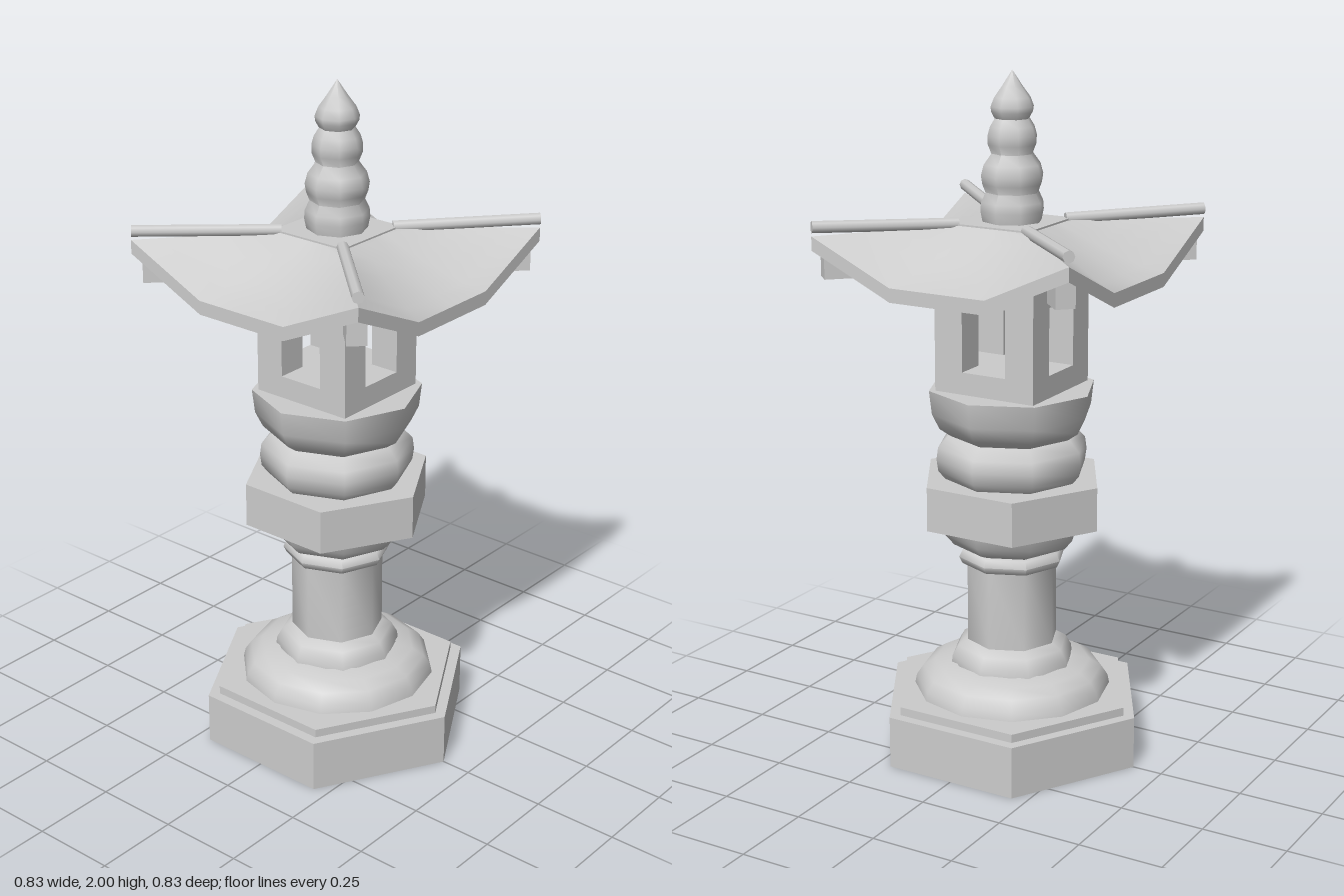
import * as THREE from 'three';
import { toCreasedNormals } from 'three/addons/utils/BufferGeometryUtils.js';

export function createModel() {
  const model = new THREE.Group();
  model.name = 'stoneLantern';
  const stone = new THREE.MeshStandardMaterial({ color: 0xcccccc });
  stone.name = 'grey stone';

  function add(name, geometry, x = 0, y = 0, z = 0, parent = model) {
    const mesh = new THREE.Mesh(geometry, stone);
    mesh.name = name;
    mesh.position.set(x, y, z);
    parent.add(mesh);
    return mesh;
  }
  function box(name, w, h, d, x, y, z, parent) {
    return add(name, new THREE.BoxGeometry(w, h, d), x, y, z, parent);
  }
  // Hexagonal slab with corners on the x axis
  function hexSlab(name, radius, y0, y1) {
    const g = new THREE.CylinderGeometry(radius, radius, y1 - y0, 6).toNonIndexed();
    g.rotateY(Math.PI / 6);
    g.computeVertexNormals();
    add(name, g, 0, (y0 + y1) / 2, 0);
  }
  // Turned part from [radius, height] pairs, listed bottom to top
  function turned(name, profile, sides = 8) {
    const points = profile.map(([r, y]) => new THREE.Vector2(r, y));
    add(name, toCreasedNormals(new THREE.LatheGeometry(points, sides), 1.0));
  }

  // Pedestal
  hexSlab('base', 0.41, 0, 0.155);
  hexSlab('baseStep', 0.375, 0.155, 0.18);
  turned('lowerMound', [[0.29, 0.18], [0.285, 0.205], [0.265, 0.235], [0.23, 0.257], [0.18, 0.267]], 12);
  turned('upperMound', [[0.185, 0.262], [0.182, 0.285], [0.165, 0.315], [0.13, 0.335], [0, 0.335]]);
  turned('shaft', [[0.135, 0.33], [0.135, 0.58]]);
  turned('collar', [[0.13, 0.568], [0.15, 0.572], [0.16, 0.592], [0.15, 0.613], [0.13, 0.618]]);
  turned('lowerLotus', [[0, 0.617], [0.14, 0.617], [0.175, 0.632], [0.2, 0.662], [0.21, 0.706]]);
  hexSlab('middlePlatform', 0.28, 0.705, 0.835);
  turned('cushion', [[0.2, 0.835], [0.22, 0.86], [0.225, 0.895], [0.22, 0.93], [0.19, 0.962], [0, 0.965]]);
  turned('upperLotus', [[0, 0.96], [0.18, 0.96], [0.215, 0.985], [0.237, 1.03], [0.245, 1.1], [0, 1.1]]);

  // Light chamber, open on all four sides
  const chamber = new THREE.Group();
  chamber.name = 'lightChamber';
  model.add(chamber);
  box('chamberFloor', 0.32, 0.065, 0.32, 0, 1.1325, 0, chamber);
  box('chamberTop', 0.32, 0.15, 0.32, 0, 1.435, 0, chamber);
  for (const sx of [-1, 1]) for (const sz of [-1, 1]) {
    box('chamberPost', 0.09, 0.195, 0.09, sx * 0.115, 1.2625, sz * 0.115, chamber);
  }

  // One roof slope: a thick curved sheet from the top plate to the upturned eave
  const across = [-1, -0.37, 0, 0.37, 1];
  const eave = [1.562, 1.445, 1.445, 1.445, 1.562];
  const rows = 5;
  function slopePoint(i, j, drop) {
    const v = j / rows;
    const half = THREE.MathUtils.lerp(0.125, 0.403, v);
    const fall = 1 - Math.pow(1 - v, 1.25);
    const y = THREE.MathUtils.lerp(1.575, eave[i], Math.abs(across[i]) === 1 ? v : fall);
    return [across[i] * half, y - drop, half];
  }
  const positions = [];
  const section = [];
  for (let j = 0; j <= rows; j++) section.push([j, 0]);
  for (let j = rows; j >= 0; j--) section.push([j, 0.04]);
  for (let k = 0; k < section.length - 1; k++) {
    for (let i = 0; i < across.length - 1; i++) {
      const a = slopePoint(i, ...section[k]);
      const b = slopePoint(i, ...section[k + 1]);
      const c = slopePoint(i + 1, ...section[k + 1]);
      const d = slopePoint(i + 1, ...section[k]);
      positions.push(...a, ...b, ...c, ...a, ...c, ...d);
    }
  }
  const raw = new THREE.BufferGeometry();
  raw.setAttribute('position', new THREE.Float32BufferAttribute(positions, 3));
  const slope = toCreasedNormals(raw, 0.9);

  const roof = new THREE.Group();
  roof.name = 'roof';
  model.add(roof);
  box('roofPlate', 0.25, 0.05, 0.25, 0, 1.555, 0, roof);
  const up = new THREE.Vector3(0, 1, 0);
  for (let q = 0; q < 4; q++) {
    const quarter = new THREE.Group();
    quarter.name = 'roofQuarter';
    quarter.rotation.y = q * Math.PI / 2;
    roof.add(quarter);
    add('roofSlope', slope, 0, 0, 0, quarter);
    // Ridge pole along the hip
    const from = new THREE.Vector3(0.11, 1.578, 0.11);
    const to = new THREE.Vector3(0.402, 1.588, 0.402);
    const along = to.clone().sub(from);
    const ridge = add('ridgePole', new THREE.CylinderGeometry(0.017, 0.017, along.length(), 8), 0, 0, 0, quarter);
    ridge.position.copy(from).add(to).multiplyScalar(0.5);
    ridge.quaternion.setFromUnitVectors(up, along.normalize());
    // Bracket under the corner
    const bracket = box('cornerBracket', 0.055, 0.09, 0.08, 0.354, 1.49, 0.354, quarter);
    bracket.rotation.y = Math.PI / 4;
  }

  // Finial
  turned('finial', [
    [0.085, 1.575], [0.092, 1.61], [0.09, 1.635], [0.077, 1.662], [0.086, 1.685], [0.09, 1.71],
    [0.082, 1.74], [0.06, 1.77], [0.07, 1.795], [0.071, 1.82], [0.064, 1.845], [0.05, 1.867],
    [0.06, 1.885], [0.062, 1.9], [0.052, 1.925], [0.03, 1.955], [0, 2],
  ]);

  return model;
}
